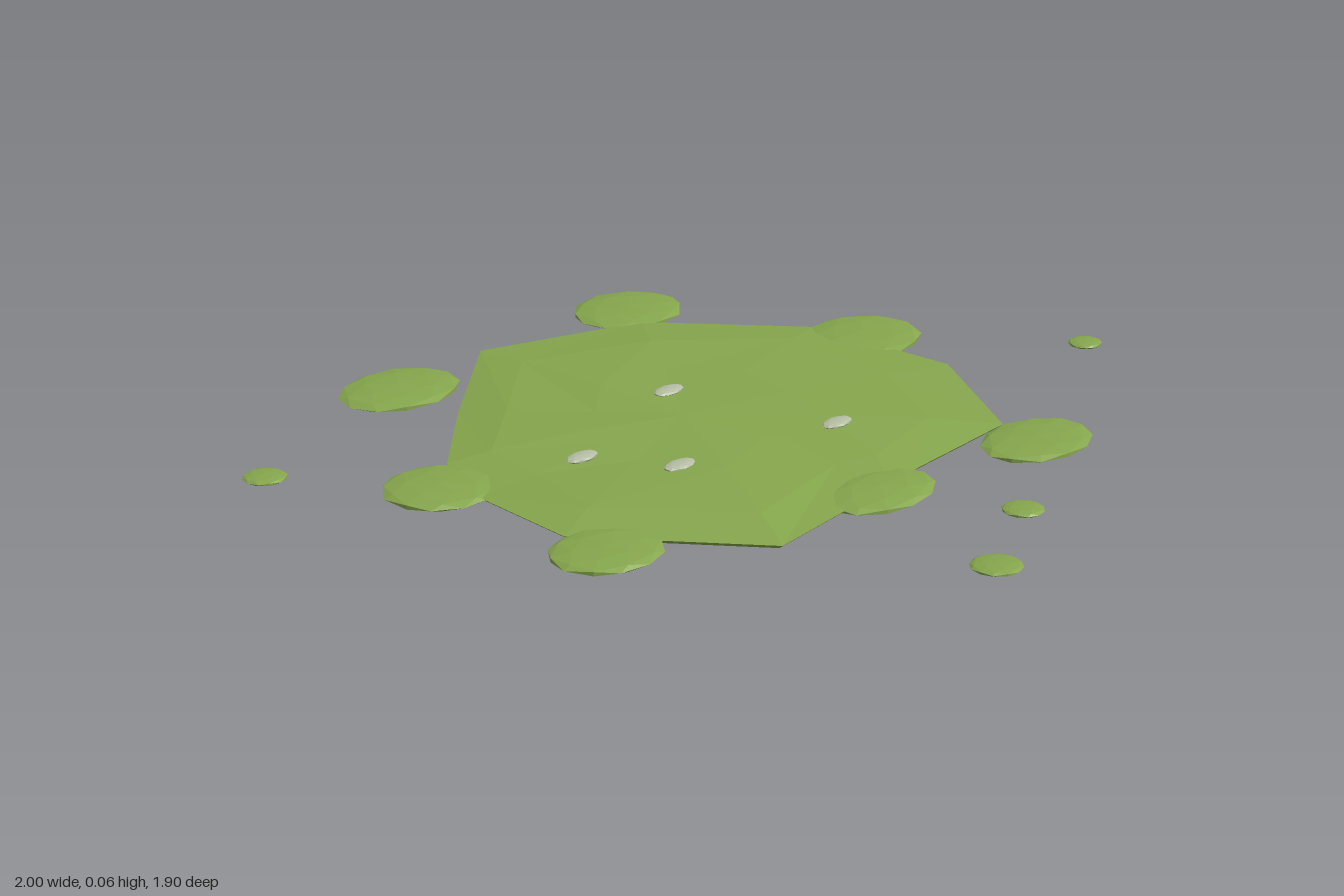
import * as THREE from 'three';

// Puddle rim as [x, z], clockwise from the back
const RIM = [[-0.06, -0.855], [0.35, -0.69], [0.6, -0.33], [0.6, 0.09], [0.36, 0.43], [0.02, 0.44],
  [-0.1, 0.455], [-0.52, 0.485], [-0.78, 0.09], [-0.74, -0.2], [-0.64, -0.4], [-0.4, -0.6]];
const CENTRE = [-0.13, -0.13];

// Closed low dome: rings of [scale, height, unevenness] from the underside to the crown
function puddleGeometry() {
  const rings = [[0, 0.009, 0], [0.97, 0.009, 0], [1, 0.023, 0], [0.78, 0.038, 0.004], [0.42, 0.049, 0.003], [0, 0.055, 0]];
  const point = (r, i) => {
    const [s, y, bump] = rings[r];
    const [x, z] = RIM[i % RIM.length];
    const k = s + bump * 12 * Math.sin(i % RIM.length * 2.3 + r);
    return [CENTRE[0] + (x - CENTRE[0]) * k, y + bump * Math.sin(i % RIM.length * 1.9 + r * 2), CENTRE[1] + (z - CENTRE[1]) * k];
  };
  const pos = [];
  for (let r = 0; r < rings.length - 1; r++) {
    for (let i = 0; i < RIM.length; i++) {
      const a = point(r, i), a2 = point(r, i + 1), b = point(r + 1, i), b2 = point(r + 1, i + 1);
      if (r > 0) pos.push(...a, ...b, ...a2);
      if (r < rings.length - 2) pos.push(...a2, ...b, ...b2);
    }
  }
  const g = new THREE.BufferGeometry();
  g.setAttribute('position', new THREE.Float32BufferAttribute(pos, 3));
  g.computeVertexNormals();
  return g;
}

export function createModel() {
  const group = new THREE.Group();
  const slime = new THREE.MeshStandardMaterial({ color: 0x86a64d, flatShading: true });
  slime.name = 'slime green';
  const pale = new THREE.MeshStandardMaterial({ color: 0xb4bda2, flatShading: true });
  pale.name = 'pale grey green';

  const puddle = new THREE.Mesh(puddleGeometry(), slime);
  puddle.name = 'puddle';
  group.add(puddle);

  // Squashed faceted blob
  const blob = new THREE.IcosahedronGeometry(1, 1);
  const addBlob = (name, material, x, y, z, rx, ry, rz, turn = 0) => {
    const mesh = new THREE.Mesh(blob.clone().rotateY(turn), material);
    mesh.name = name;
    mesh.position.set(x, y, z);
    mesh.scale.set(rx, ry, rz);
    group.add(mesh);
  };

  // Lobes around the rim: x, z, half width, half depth
  [[-0.37, -0.825, 0.162, 0.13], [0.405, -0.782, 0.15, 0.135], [0.638, -0.2, 0.152, 0.143],
    [-0.748, -0.315, 0.137, 0.132], [-0.772, 0.205, 0.138, 0.12], [-0.14, 0.452, 0.155, 0.108],
    [0.335, 0.543, 0.154, 0.117]]
    .forEach(([x, z, rx, rz], i) => addBlob('lobe' + (i + 1), slime, x, 0.019, z, rx, 0.016, rz, i * 0.4));

  // Loose droplets
  [[-0.948, -0.67, 0.052], [0.957, 0.25, 0.043], [-0.012, 0.753, 0.049], [-0.298, 0.888, 0.059]]
    .forEach(([x, z, r], i) => addBlob('droplet' + (i + 1), slime, x, 0.016, z, r, 0.009, r, i * 0.7));

  // Pale bubbles on the surface
  [[-0.46, 0.047, -0.15], [-0.03, 0.053, -0.265], [-0.36, 0.049, 0.055], [0.07, 0.049, 0.165]]
    .forEach(([x, y, z], i) => addBlob('bubble' + (i + 1), pale, x, y, z, 0.046, 0.008, 0.026, i));

  return group;
}
